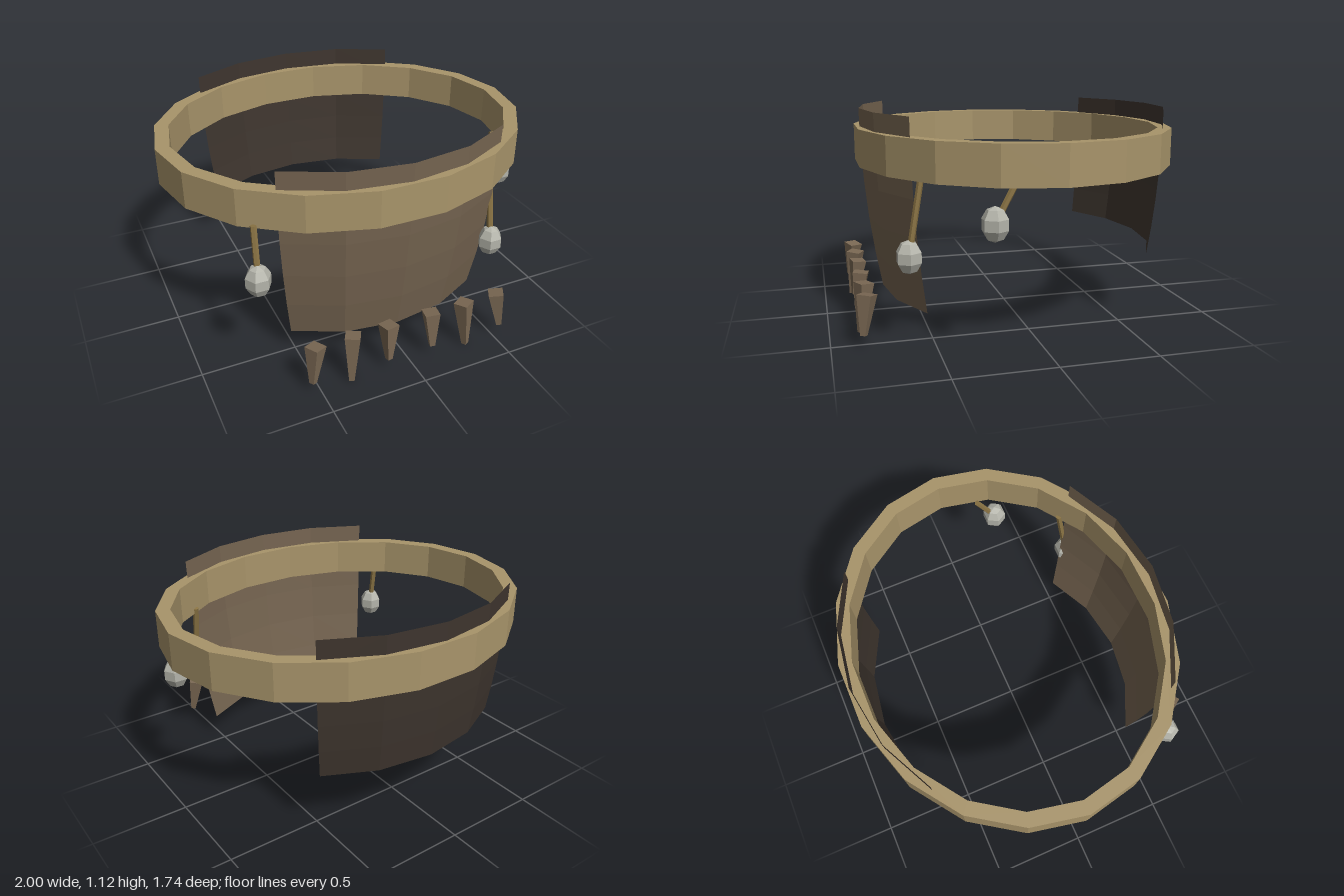
import * as THREE from 'three';

const CZ = -0.03; // z centre of the waist ellipse

const paint = (color, side = THREE.FrontSide) =>
  new THREE.MeshStandardMaterial({ color, side, flatShading: true });
const gold = paint(0xa8946a);
const cord = paint(0x8c7545);
const leather = paint(0x756450, THREE.DoubleSide);
const darkLeather = paint(0x3e352e, THREE.DoubleSide);
const toothBrown = paint(0x7a6853);
const stone = paint(0xb4b4aa);

function add(parent, name, geometry, material) {
  const mesh = new THREE.Mesh(geometry, material);
  mesh.name = name;
  parent.add(mesh);
  return mesh;
}

// Eighteen-sided elliptical ring
function beltGeometry() {
  const ellipse = (rx, rz) => Array.from({ length: 18 }, (_, i) => {
    const a = (i * Math.PI) / 9;
    return new THREE.Vector2(rx * Math.cos(a), rz * Math.sin(a));
  });
  const shape = new THREE.Shape(ellipse(1, 0.85));
  shape.holes.push(new THREE.Path(ellipse(0.925, 0.78)));
  return new THREE.ExtrudeGeometry(shape, { depth: 0.195, bevelEnabled: false })
    .rotateX(-Math.PI / 2).translate(0, 0.83, CZ);
}

// Curved sheet that draws inward toward its hem; facing is 1 for front, -1 for back
function flapGeometry(bottom, shrink, facing) {
  const top = 1.12;
  const geometry = new THREE.PlaneGeometry(2, 1, 4, 5);
  const p = geometry.attributes.position;
  for (let i = 0; i < p.count; i++) {
    const a = p.getX(i) * 0.685;
    const t = 0.5 - p.getY(i);
    const s = 1 - shrink * t * t;
    p.setXYZ(i, facing * 0.95 * Math.sin(a) * s, top + (bottom - top) * t,
      CZ + facing * 0.82 * Math.cos(a) * s);
  }
  geometry.computeVertexNormals();
  return geometry;
}

// Square tapered tooth, leaning slightly outward
function addTooth(parent, x, tipX, tipY, yaw) {
  const top = new THREE.Vector3(x, 0.263, 0.818);
  const tip = new THREE.Vector3(tipX, tipY, 0.842);
  const up = top.clone().sub(tip);
  const geometry = new THREE.CylinderGeometry(0.054, 0.019, up.length(), 4).rotateY(Math.PI / 4 + yaw);
  const tooth = add(parent, 'tooth', geometry, toothBrown);
  tooth.position.copy(top).add(tip).multiplyScalar(0.5);
  tooth.quaternion.setFromUnitVectors(new THREE.Vector3(0, 1, 0), up.normalize());
}

// Faceted bead hanging from a straight cord
function addCharm(parent, bead, anchor) {
  const charm = new THREE.Group();
  charm.name = 'hangingCharm';
  const a = new THREE.Vector3(...anchor);
  const b = new THREE.Vector3(...bead);
  const dir = a.clone().sub(b);
  const string = add(charm, 'cord', new THREE.CylinderGeometry(0.016, 0.016, dir.length(), 6), cord);
  string.position.copy(a).add(b).multiplyScalar(0.5);
  string.quaternion.setFromUnitVectors(new THREE.Vector3(0, 1, 0), dir.normalize());
  const ball = add(charm, 'bead', new THREE.SphereGeometry(0.068, 6, 5), stone);
  ball.scale.y = 1.24;
  ball.position.copy(b);
  parent.add(charm);
}

export function createModel() {
  const model = new THREE.Group();
  model.name = 'beltWithFlaps';

  add(model, 'belt', beltGeometry(), gold);
  add(model, 'frontFlap', flapGeometry(0.145, 0.12, 1), leather);
  add(model, 'backFlap', flapGeometry(0.375, 0.07, -1), darkLeather);

  // Row of mirrored teeth before the front hem: x, tip x, tip y, yaw
  const teeth = new THREE.Group();
  teeth.name = 'teeth';
  model.add(teeth);
  for (const [x, tipX, tipY, yaw] of [
    [0.12, 0.125, 0.065, -0.21], [0.315, 0.33, 0.005, 0.5], [0.512, 0.538, 0.065, -0.53],
  ]) {
    for (const side of [1, -1]) addTooth(teeth, side * x, side * tipX, tipY, side * yaw);
  }

  // Charms around the belt: bead centre, cord anchor
  addCharm(model, [-0.71, 0.575, 0.615], [-0.705, 0.85, 0.575]);
  addCharm(model, [0.587, 0.455, 0.62], [0.59, 0.86, 0.552]);
  addCharm(model, [0.862, 0.655, 0.268], [0.862, 0.85, 0.165]);

  return model;
}
